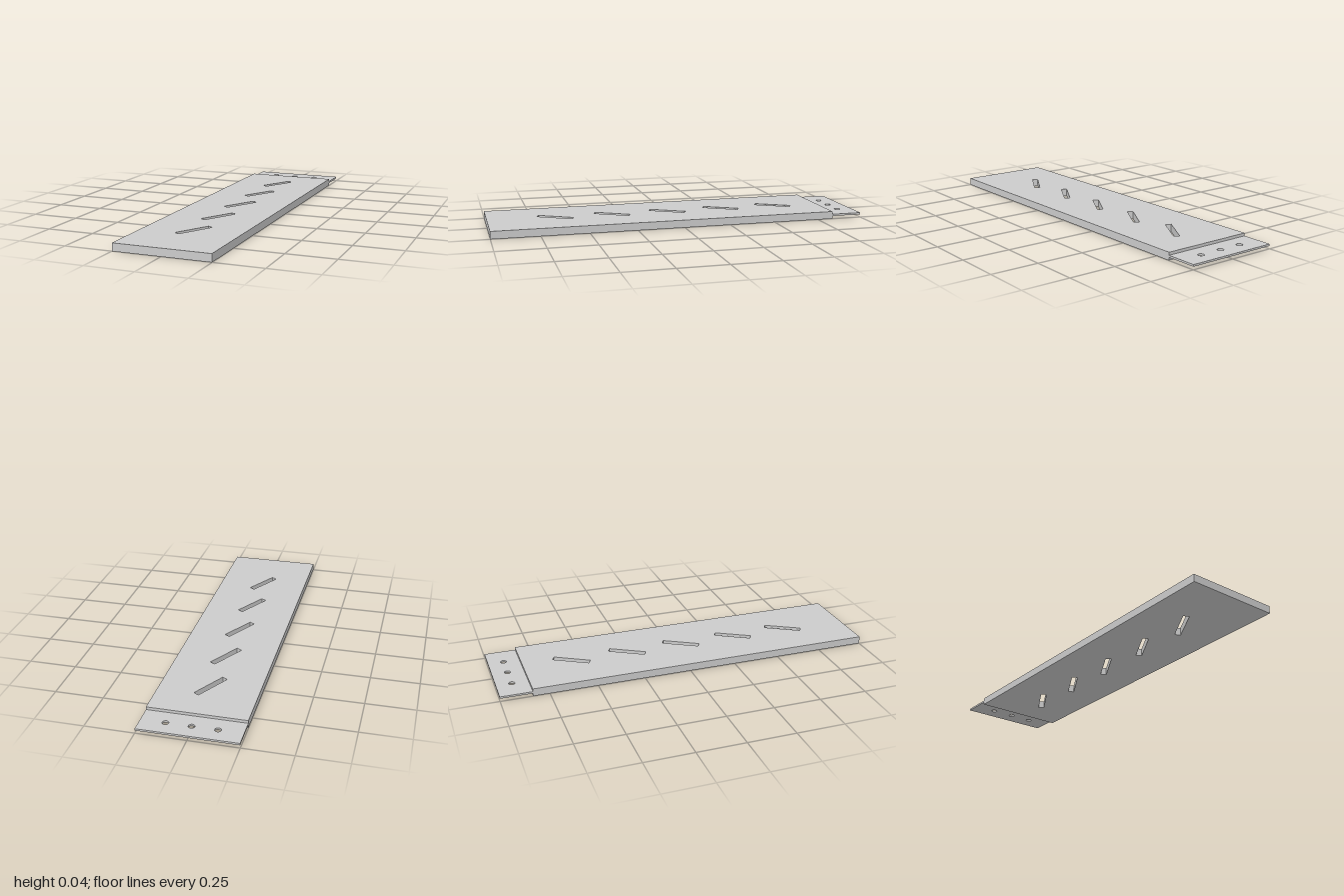
import * as THREE from 'three';

const material = new THREE.MeshStandardMaterial({ color: 0xcccccc });

// Outline in plan, with v pointing to the back (v = -z)
function rectangle(x0, x1, v0, v1) {
  return new THREE.Shape([[x0, v0], [x1, v0], [x1, v1], [x0, v1]].map(([x, v]) => new THREE.Vector2(x, v)));
}

// Flat plate lying between two heights
function plate(name, shape, bottom, top) {
  const geometry = new THREE.ExtrudeGeometry(shape, { depth: top - bottom, bevelEnabled: false, curveSegments: 32 });
  geometry.rotateX(-Math.PI / 2);
  geometry.translate(0, bottom, 0);
  const mesh = new THREE.Mesh(geometry, material);
  mesh.name = name;
  return mesh;
}

// Slanted slot, 30 degrees off the long axis
function slot(z, length, width) {
  const centre = new THREE.Vector2(0, 0);
  const corners = [[-1, -1], [-1, 1], [1, 1], [1, -1]].map(([a, b]) =>
    new THREE.Vector2(a * width / 2, b * length / 2).rotateAround(centre, -Math.PI / 6).add(new THREE.Vector2(0, -z)));
  return new THREE.Path(corners);
}

export function createModel() {
  const group = new THREE.Group();
  group.name = 'slottedBoard';
  const halfWidth = 0.249, shoulder = -0.835;

  // Thick board with five slanted through slots
  const board = rectangle(-halfWidth, halfWidth, -1, -shoulder);
  for (let i = -2; i <= 2; i++) board.holes.push(slot(0.032 + i * 0.306, 0.2, 0.031));
  group.add(plate('board', board, 0, 0.04));

  // Thin mounting tongue with three round holes
  const tongue = rectangle(-halfWidth, halfWidth, -shoulder, 1);
  for (const x of [-0.126, 0, 0.126]) {
    tongue.holes.push(new THREE.Path().absarc(x, 0.919, 0.016, 0, Math.PI * 2, true));
  }
  group.add(plate('mountingTongue', tongue, 0.015, 0.025));

  return group;
}
